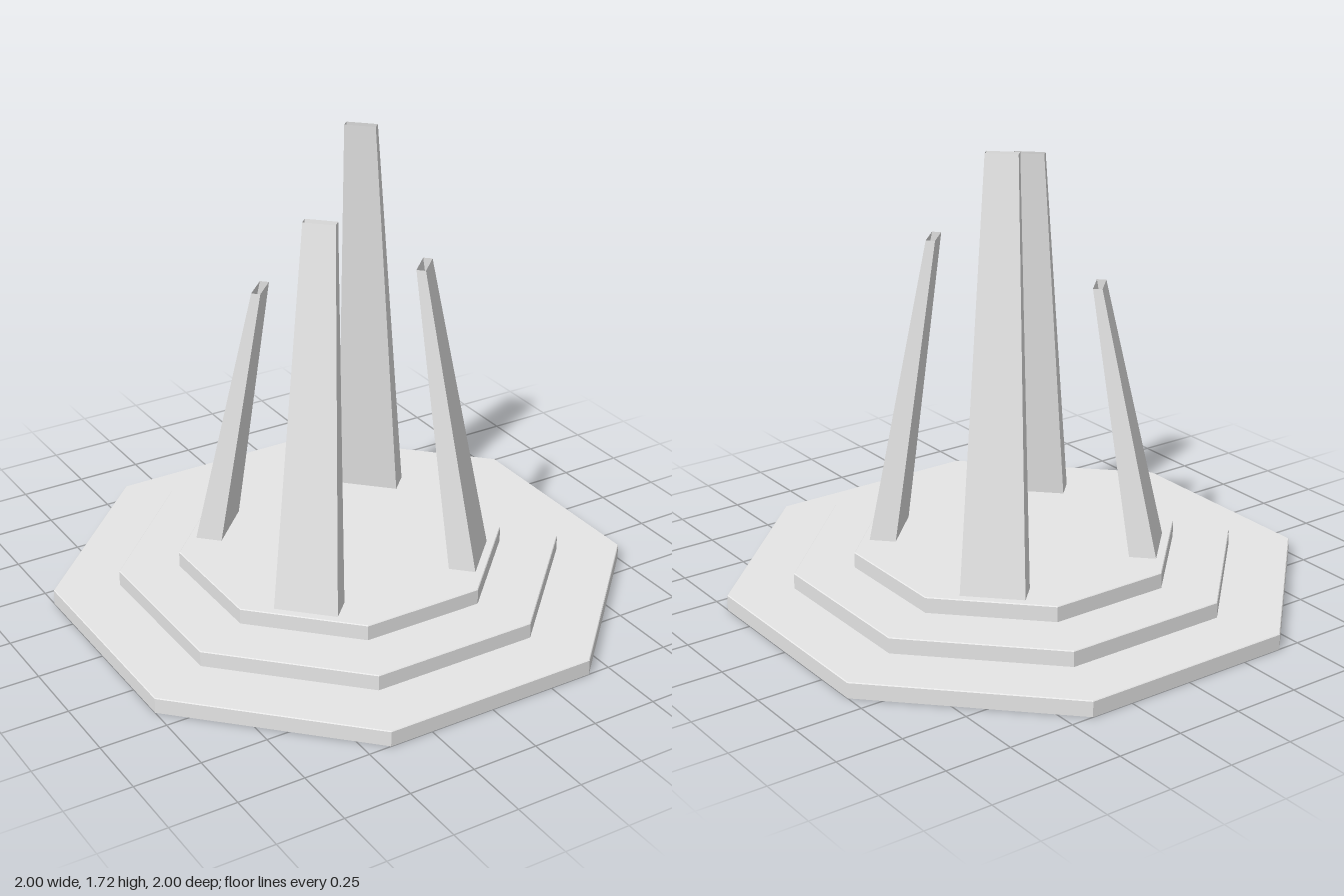
import * as THREE from 'three';

const stone = new THREE.MeshStandardMaterial({ color: 0xe6e6e6, flatShading: true, side: THREE.DoubleSide });
stone.name = 'pale stone';

// Octagonal step, open underneath, with a hairline chamfer; apothem is the half width across flats.
function octagonStep(apothem, y, height) {
  const k = 1 / Math.cos(Math.PI / 8);
  const bevel = 0.003;
  const profile = [
    [apothem * k, 0], [apothem * k, height - bevel],
    [(apothem - bevel) * k, height], [0, height],
  ].map(([r, h]) => new THREE.Vector2(r, h));
  const geometry = new THREE.LatheGeometry(profile, 8, Math.PI / 8).toNonIndexed();
  geometry.computeVertexNormals();
  const mesh = new THREE.Mesh(geometry, stone);
  mesh.position.y = y;
  return mesh;
}

// Hollow four-sided pillar, open at both ends, leaning inward; local +z points away from the centre.
function pillarGeometry(bottom, top) {
  const base = { inner: 0.435, outer: 0.534, half: 0.117 };
  const tip = { inner: 0.283, outer: 0.317, half: 0.058 };
  const geometry = new THREE.CylinderGeometry(1, 1, 1, 4, 1, true, Math.PI / 4).toNonIndexed();
  const p = geometry.attributes.position;
  for (let i = 0; i < p.count; i++) {
    const end = p.getY(i) > 0 ? tip : base;
    p.setXYZ(
      i,
      Math.sign(p.getX(i)) * end.half,
      p.getY(i) > 0 ? top : bottom,
      p.getZ(i) > 0 ? end.outer : end.inner,
    );
  }
  geometry.computeVertexNormals();
  return geometry;
}

export function createModel() {
  const model = new THREE.Group();
  model.name = 'monument';

  // Stepped plinth
  const stepHeight = 0.06;
  [['lowerStep', 1], ['middleStep', 0.773], ['upperStep', 0.565]].forEach(([name, apothem], i) => {
    const step = octagonStep(apothem, i * stepHeight, stepHeight);
    step.name = name;
    model.add(step);
  });

  // Four pillars on the diagonals, each of its own height
  const pillars = [
    ['frontLeftPillar', 1, 1.33],
    ['backLeftPillar', 3, 1.72],
    ['backRightPillar', 5, 1.18],
    ['frontRightPillar', 7, 1.575],
  ];
  for (const [name, eighth, top] of pillars) {
    const pillar = new THREE.Mesh(pillarGeometry(3 * stepHeight, top), stone);
    pillar.name = name;
    pillar.rotation.y = eighth * Math.PI / 4;
    model.add(pillar);
  }
  return model;
}
